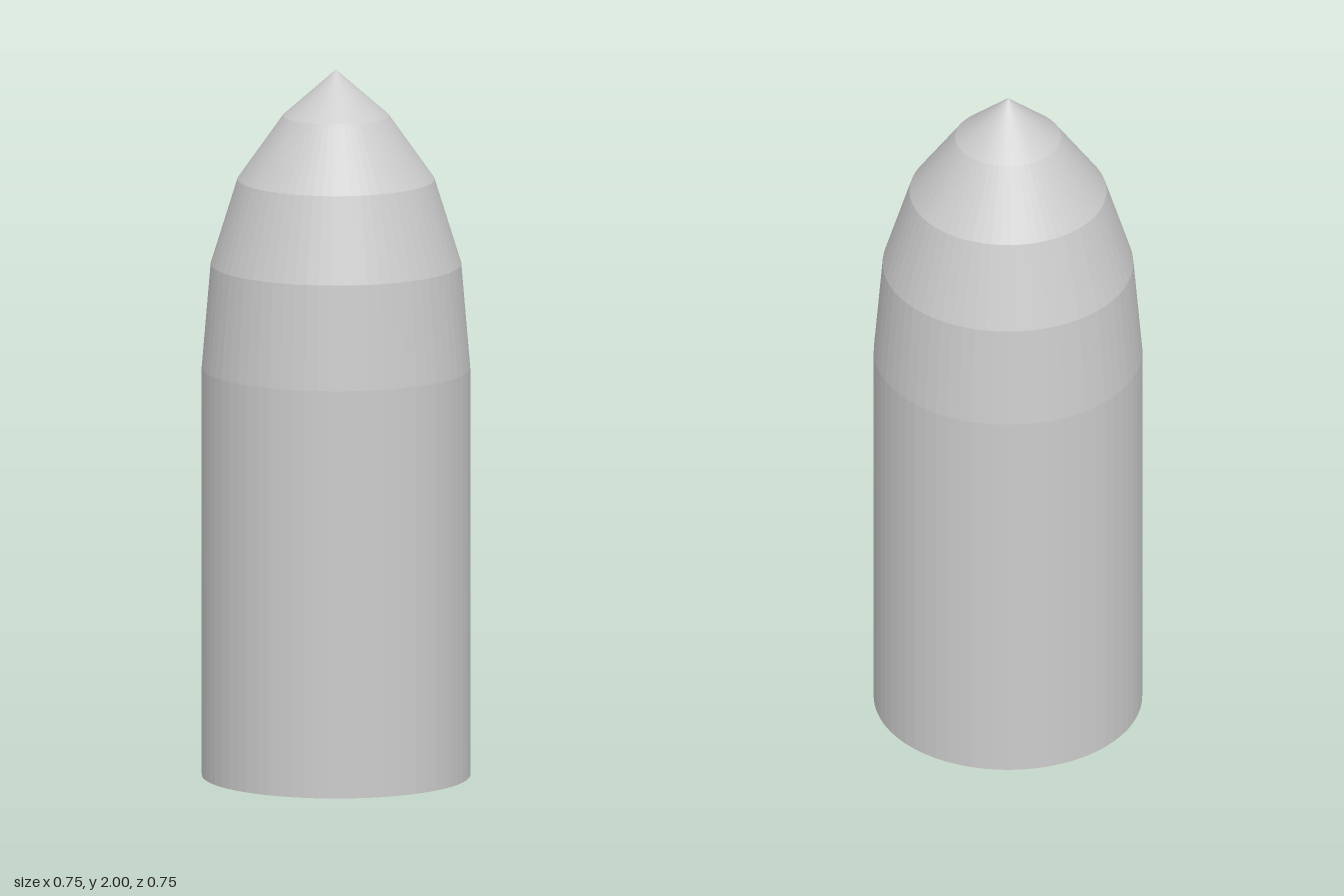
import * as THREE from 'three';

const SEGMENTS = 64;
const RADIUS = 0.375;
const SHOULDER = 1.155;

export function createModel() {
  const group = new THREE.Group();
  group.name = 'pointedCylinder';
  const material = new THREE.MeshStandardMaterial({ color: 0xcccccc, flatShading: true });

  // Revolve a bottom-to-top [radius, height] profile around y
  const addTurned = (name, profile) => {
    const points = profile.map(([r, y]) => new THREE.Vector2(r, y));
    const mesh = new THREE.Mesh(new THREE.LatheGeometry(points, SEGMENTS), material);
    mesh.name = name;
    group.add(mesh);
  };

  // Straight body with a closed flat base
  addTurned('body', [[0, 0], [RADIUS, 0], [RADIUS, SHOULDER]]);

  // Faceted ogive nose narrowing to a point
  addTurned('nose', [[RADIUS, SHOULDER], [0.35, 1.45], [0.275, 1.69], [0.148, 1.87], [0, 2]]);

  return group;
}
